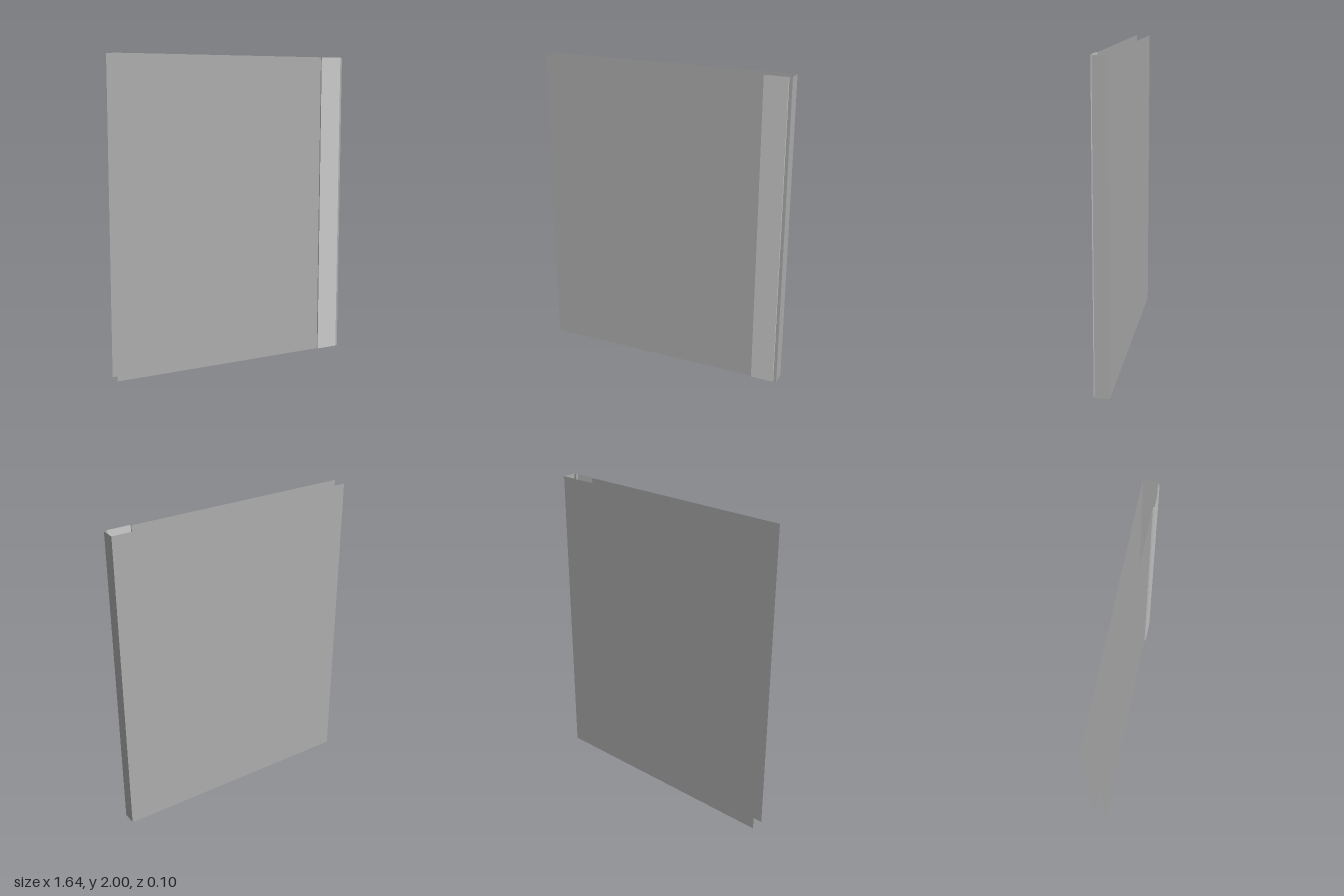
import * as THREE from 'three';

const HEIGHT = 2;
const HALF_WIDTH = 0.82;
const BACK_Z = -0.05;
const FRONT_Z = 0.04;
const STRIP_Z = 0.05;
const STRIP_INNER = 0.65;
const STRIP_OUTER = 0.8;

const shellMaterial = new THREE.MeshStandardMaterial({ color: 0xadadad, side: THREE.DoubleSide });
const stripMaterial = new THREE.MeshStandardMaterial({ color: 0xcccccc, side: THREE.DoubleSide });

// Upright sheet standing on the floor line from (x0, z0) to (x1, z1);
// its front lies to the right of the line as seen from above
function sheet(name, material, [x0, z0], [x1, z1]) {
  const length = Math.hypot(x1 - x0, z1 - z0);
  const mesh = new THREE.Mesh(new THREE.PlaneGeometry(length, HEIGHT), material);
  mesh.position.set((x0 + x1) / 2, HEIGHT / 2, (z0 + z1) / 2);
  mesh.rotation.y = -Math.atan2(z1 - z0, x1 - x0);
  mesh.name = name;
  return mesh;
}

export function createModel() {
  const group = new THREE.Group();
  group.name = 'foldedCover';

  // Thin shell, open at the top, the bottom and the right edge
  group.add(
    sheet('frontPanel', shellMaterial, [-HALF_WIDTH, FRONT_Z], [STRIP_INNER, FRONT_Z]),
    sheet('frontTrim', shellMaterial, [STRIP_OUTER, FRONT_Z], [HALF_WIDTH, FRONT_Z]),
    sheet('spine', shellMaterial, [HALF_WIDTH, FRONT_Z], [HALF_WIDTH, BACK_Z]),
    sheet('backPanel', shellMaterial, [HALF_WIDTH, BACK_Z], [-HALF_WIDTH, BACK_Z])
  );

  // Raised strip beside the spine with its two narrow steps
  group.add(
    sheet('stripInnerStep', stripMaterial, [STRIP_INNER, FRONT_Z], [STRIP_INNER, STRIP_Z]),
    sheet('stripFace', stripMaterial, [STRIP_INNER, STRIP_Z], [STRIP_OUTER, STRIP_Z]),
    sheet('stripOuterStep', stripMaterial, [STRIP_OUTER, STRIP_Z], [STRIP_OUTER, FRONT_Z])
  );

  return group;
}
